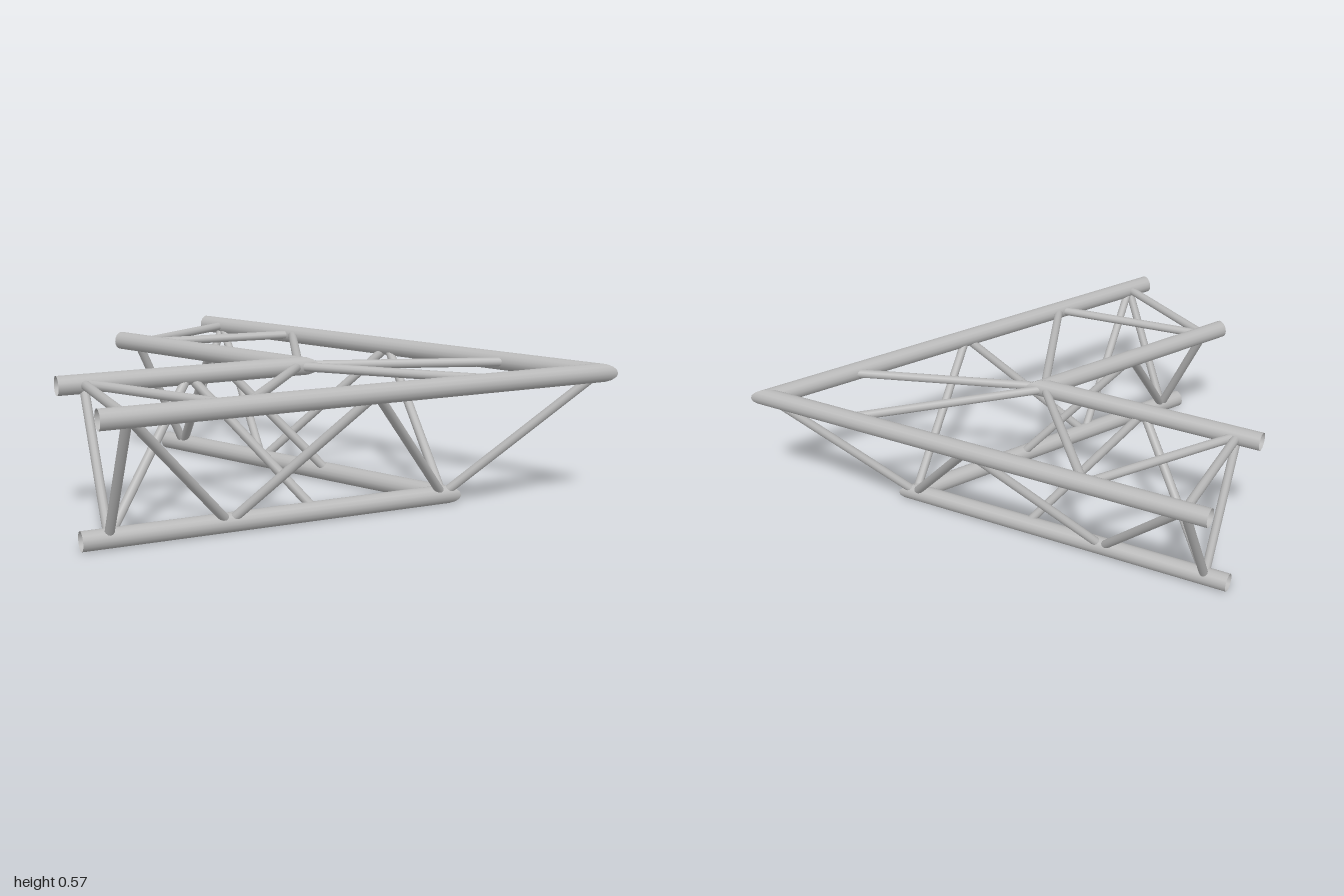
import * as THREE from 'three';

const CHORD_R = 0.037, BRACE_R = 0.018;
const TOP = 0.536, LOW = 0.037;
const COS = 0.5, SIN = Math.sqrt(3) / 2; // mirror over the 30 degree mitre line

// The three chords: height, z position and x of the mitre corner
const CHORDS = {
  outer: { y: TOP, z: 0.82, x: 0.936 },
  inner: { y: TOP, z: 0.255, x: -0.043 },
  bottom: { y: LOW, z: 0.535, x: 0.442 },
};

// Braces of one arm: chord, x on it, chord, x on it
const BRACES = [
  ['outer', -0.9, 'inner', -0.9], ['outer', -0.9, 'bottom', -0.9], ['inner', -0.9, 'bottom', -0.9],
  ['inner', -0.9, 'outer', -0.5], ['outer', -0.5, 'inner', -0.05], ['inner', -0.06, 'outer', 0.565],
  ['outer', -0.9, 'bottom', -0.45], ['bottom', -0.45, 'outer', 0], ['outer', 0, 'bottom', 0.442],
  ['bottom', -0.9, 'inner', -0.5], ['inner', -0.5, 'bottom', -0.1],
];

const C = CHORDS.outer;

// Reflects a point across the vertical mitre plane
function reflect(p) {
  const x = p.x - C.x, z = p.z - C.z;
  return new THREE.Vector3(C.x + COS * x + SIN * z, p.y, C.z + SIN * x - COS * z);
}

const node = (chord, x) => new THREE.Vector3(x, CHORDS[chord].y, CHORDS[chord].z);

export function createModel() {
  const model = new THREE.Group();
  model.name = 'cornerTruss';
  const metal = new THREE.MeshStandardMaterial({ color: 0xb8b8b8, side: THREE.DoubleSide });
  metal.name = 'aluminium grey';

  function addBrace(a, b, parent, name) {
    const dir = b.clone().sub(a);
    const length = dir.length() - 1.6 * CHORD_R; // stop inside the chord walls
    const mesh = new THREE.Mesh(new THREE.CylinderGeometry(BRACE_R, BRACE_R, length, 12), metal);
    mesh.position.copy(a).add(b).multiplyScalar(0.5);
    mesh.quaternion.setFromUnitVectors(new THREE.Vector3(0, 1, 0), dir.normalize());
    mesh.name = name;
    parent.add(mesh);
  }

  // Open tube along x, with its +x end cut on the mitre plane
  function chordGeometry({ x, y, z }) {
    const length = x + 1;
    const geo = new THREE.CylinderGeometry(CHORD_R, CHORD_R, length, 16, 1, true);
    geo.rotateZ(-Math.PI / 2).translate(x - length / 2, y, z);
    const pos = geo.attributes.position;
    for (let i = 0; i < pos.count; i++) {
      if (pos.getX(i) > x - 0.1) pos.setX(i, x + (pos.getZ(i) - z) * Math.sqrt(3));
    }
    return geo;
  }

  // Mirrors positions and normals, and turns the faces round again
  function reflectGeometry(geo) {
    const pos = geo.attributes.position, nor = geo.attributes.normal;
    for (let i = 0; i < pos.count; i++) {
      const p = reflect(new THREE.Vector3().fromBufferAttribute(pos, i));
      pos.setXYZ(i, p.x, p.y, p.z);
      const nx = nor.getX(i), nz = nor.getZ(i);
      nor.setXYZ(i, COS * nx + SIN * nz, nor.getY(i), SIN * nx - COS * nz);
    }
    geo.setIndex(Array.from(geo.index.array).reverse());
    return geo;
  }

  // Two matching arms
  for (const mirrored of [false, true]) {
    const arm = new THREE.Group();
    arm.name = mirrored ? 'rearArm' : 'frontArm';
    for (const [name, chord] of Object.entries(CHORDS)) {
      const geo = chordGeometry(chord);
      const mesh = new THREE.Mesh(mirrored ? reflectGeometry(geo) : geo, metal);
      mesh.name = name + 'Chord';
      arm.add(mesh);
    }
    for (const [c1, x1, c2, x2] of BRACES) {
      const ends = [node(c1, x1), node(c2, x2)];
      const [a, b] = mirrored ? ends.map(reflect) : ends;
      addBrace(a, b, arm, 'brace');
    }
    model.add(arm);
  }

  // Single diagonal on the mitre plane
  addBrace(node('bottom', CHORDS.bottom.x), node('outer', CHORDS.outer.x), model, 'cornerBrace');
  return model;
}
